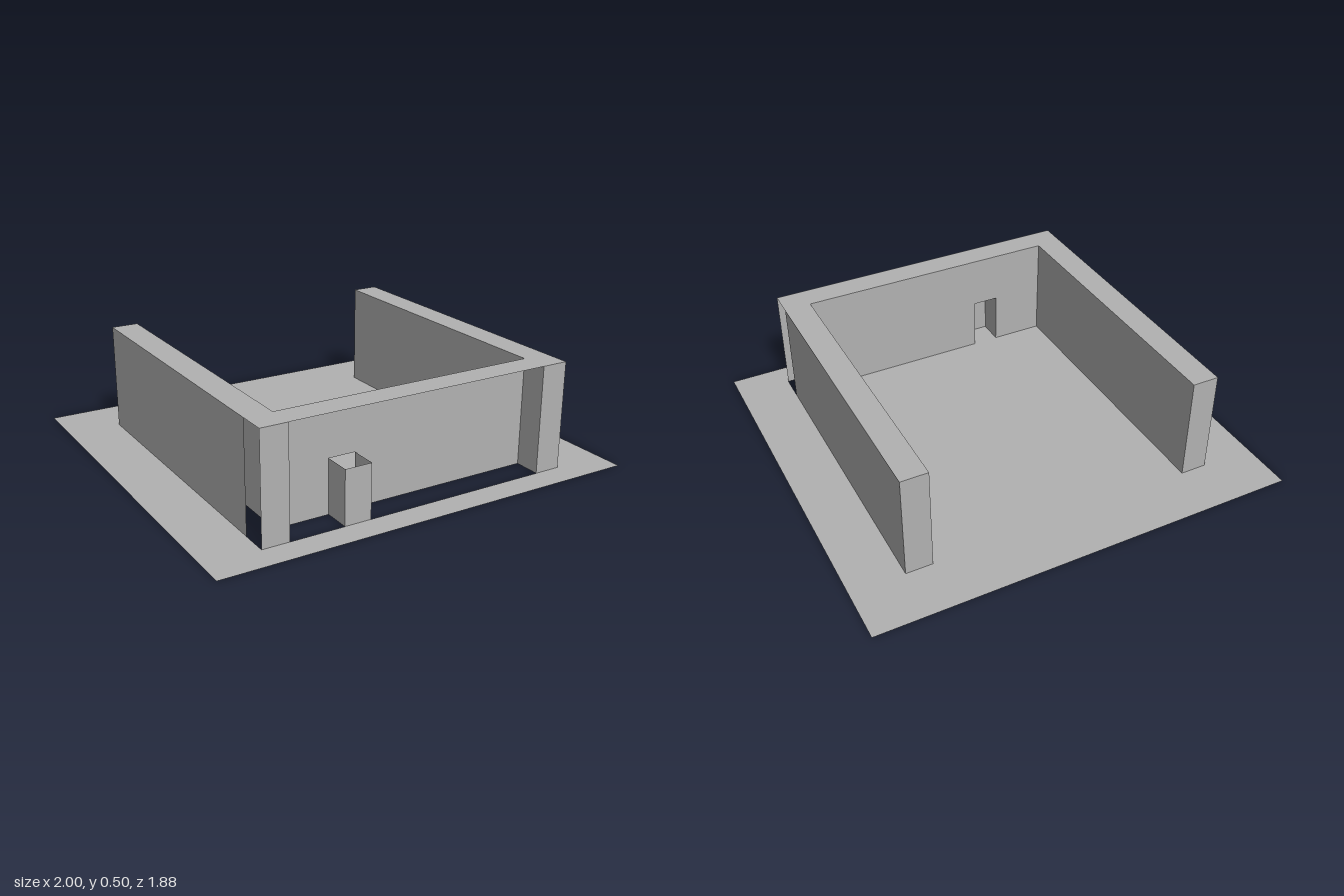
import * as THREE from 'three';

export function createModel() {
  const model = new THREE.Group();
  const grey = new THREE.MeshStandardMaterial({ color: 0xb2b2b2, side: THREE.DoubleSide });
  grey.name = 'plain grey';

  // Plan dimensions
  const outer = 0.75, inner = 0.625;
  const back = -0.6875, frontIn = 0.6875, frontOut = 0.8125;
  const height = 0.5, doorL = -0.375, doorR = -0.25, doorH = 0.25;
  const floorX = 1, floorZ = 0.9375;

  const add = (name, geometry) => {
    const mesh = new THREE.Mesh(geometry, grey);
    mesh.name = name;
    model.add(mesh);
    return mesh;
  };
  const points = (list) => list.map(([a, b]) => new THREE.Vector2(a, b));

  // Horizontal sheet from [x, z] corners, with holes, facing up
  const sheet = (name, corners, holes, y) => {
    const flip = (list) => points(list.map(([x, z]) => [x, -z]));
    const shape = new THREE.Shape(flip(corners));
    holes.forEach((h) => shape.holes.push(new THREE.Path(flip(h))));
    add(name, new THREE.ShapeGeometry(shape).rotateX(-Math.PI / 2)).position.y = y;
  };

  // Vertical panel running from (x0, z0) to (x1, z1)
  const panel = (name, x0, z0, x1, z1, h) => {
    const mesh = add(name, new THREE.PlaneGeometry(Math.hypot(x1 - x0, z1 - z0), h));
    mesh.position.set((x0 + x1) / 2, h / 2, (z0 + z1) / 2);
    mesh.rotation.y = Math.atan2(-(z1 - z0), x1 - x0);
  };

  // Floor, open beneath the hollow walls but kept whole at the threshold
  const slot = (side, door) => [
    [side * outer, back], [side * inner, back], [side * inner, frontIn],
    [door, frontIn], [door, frontOut], [side * outer, frontOut],
  ];
  sheet('floor',
    [[-floorX, -floorZ], [floorX, -floorZ], [floorX, floorZ], [-floorX, floorZ]],
    [slot(-1, doorL), slot(1, doorR)], 0);

  // U-shaped cap on the walls
  sheet('wallTop', [
    [-outer, back], [-inner, back], [-inner, frontIn], [inner, frontIn],
    [inner, back], [outer, back], [outer, frontOut], [-outer, frontOut],
  ], [], height);

  // Side walls: the outer skins stop short of the front corners
  for (const [side, label] of [[1, 'left'], [-1, 'right']]) {
    const run = (name, x, z0, z1) => (side > 0
      ? panel(name, x, z1, x, z0, height)
      : panel(name, -x, z0, -x, z1, height));
    run(label + 'WallOuter', outer, back, frontIn);
    panel(label + 'WallInner', side * inner, side > 0 ? back : frontOut,
      side * inner, side > 0 ? frontOut : back, height);
    panel(label + 'WallBackEnd', side > 0 ? outer : -inner, back,
      side > 0 ? inner : -outer, back, height);
    panel(label + 'WallFrontEnd', side > 0 ? inner : -outer, frontOut,
      side > 0 ? outer : -inner, frontOut, height);
  }

  // Recessed front wall with a doorway
  const front = new THREE.Shape(points([
    [-inner, 0], [doorL, 0], [doorL, doorH], [doorR, doorH],
    [doorR, 0], [inner, 0], [inner, height], [-inner, height],
  ]));
  add('frontWall', new THREE.ShapeGeometry(front)).position.z = frontIn;

  // Door and its two jambs, open on top
  panel('door', doorL, frontOut, doorR, frontOut, doorH);
  panel('doorJambRight', doorL, frontIn, doorL, frontOut, doorH);
  panel('doorJambLeft', doorR, frontOut, doorR, frontIn, doorH);

  return model;
}
